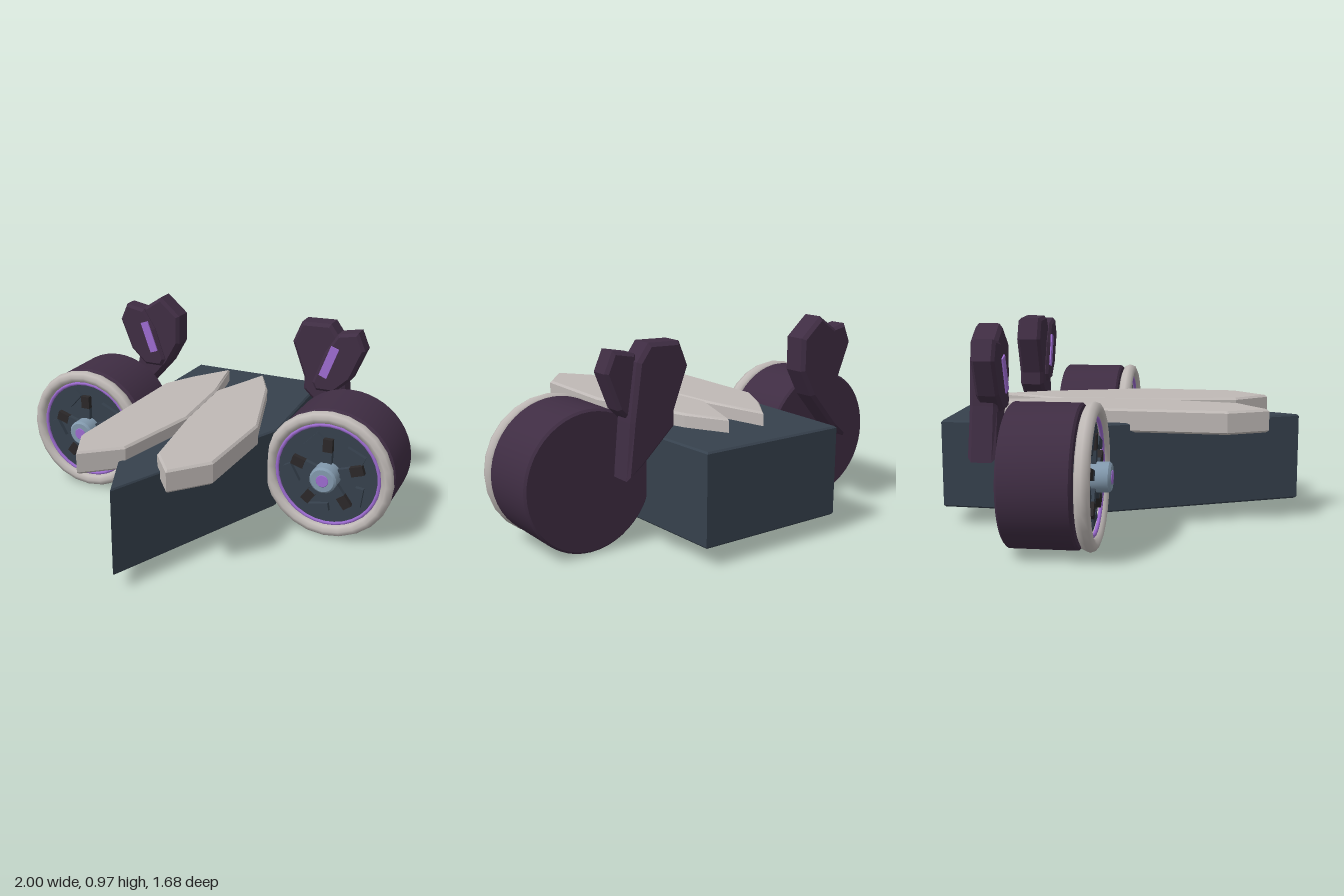
import * as THREE from 'three';
import { toCreasedNormals } from 'three/addons/utils/BufferGeometryUtils.js';

const mat = (name, color) => {
  const m = new THREE.MeshStandardMaterial({ color });
  m.name = name;
  return m;
};

export function createModel() {
  const slate = mat('slate', 0x36414d);
  const plum = mat('plum', 0x3f2d43);
  const paleGrey = mat('pale grey', 0xbfb9b6);
  const purple = mat('purple', 0x9c6bd0);
  const steel = mat('steel blue', 0x8299ad);
  const charcoal = mat('charcoal', 0x2b2829);

  const model = new THREE.Group();
  const add = (parent, name, geometry, material) => {
    const mesh = new THREE.Mesh(geometry, material);
    mesh.name = name;
    parent.add(mesh);
    return mesh;
  };

  // Bevelled plate filling an outline, from z = 0 to z = thickness
  const plate = (points, thickness, bevel) => {
    const shape = new THREE.Shape(points.map(([x, y]) => new THREE.Vector2(x, y)));
    return new THREE.ExtrudeGeometry(shape, {
      depth: thickness - 2 * bevel,
      bevelThickness: bevel,
      bevelSize: bevel,
      bevelOffset: -bevel,
      bevelSegments: 1,
    }).translate(0, 0, bevel);
  };
  // The same plate laid flat, with its outline given in x and z
  const flatPlate = (points, y0, y1, bevel) =>
    plate(points, y1 - y0, bevel).rotateX(Math.PI / 2).translate(0, y1, 0);

  // Solid turned around the z axis, from [radius, z] pairs
  const turned = (profile, segments) => {
    const points = profile.map(([r, z]) => new THREE.Vector2(r, z));
    return toCreasedNormals(new THREE.LatheGeometry(points, segments), 0.5).rotateX(Math.PI / 2);
  };
  const disc = (r, z0, z1, b, segments) =>
    turned([[0, z0], [r - b, z0], [r, z0 + b], [r, z1 - b], [r - b, z1], [0, z1]], segments);

  // Hull with a pointed nose
  add(model, 'hull', flatPlate(
    [[-0.37, -0.84], [0.37, -0.84], [0.4, -0.1], [0, 0.84], [-0.4, -0.1]], 0.09, 0.51, 0.008), slate);

  // Two long deck panels
  add(model, 'rightDeckPanel', flatPlate(
    [[-0.1, -0.65], [-0.24, -0.46], [-0.325, -0.3], [-0.35, 0.5], [-0.26, 0.69],
      [-0.09, 0.545], [0, 0.09], [-0.03, -0.32]], 0.465, 0.575, 0.01), paleGrey);
  add(model, 'leftDeckPanel', flatPlate(
    [[0.1, -0.65], [0.2, -0.46], [0.35, 0.04], [0.335, 0.52], [0.19, 0.69],
      [0.067, 0.535], [0, 0.09], [-0.03, -0.32]], 0.465, 0.574, 0.01), paleGrey);

  // Round thruster pods with a rim, spokes and a hub
  for (const side of [-1, 1]) {
    const pod = new THREE.Group();
    pod.name = side < 0 ? 'rightPod' : 'leftPod';
    pod.position.set(side * 0.673, 0.333, 0);
    model.add(pod);

    add(pod, 'drum', disc(0.32, -0.428, -0.112, 0.01, 48), plum);
    add(pod, 'face', disc(0.262, -0.12, -0.078, 0.002, 32), slate);
    const rim = add(pod, 'rim', new THREE.TorusGeometry(0.295, 0.032, 8, 24), paleGrey);
    rim.position.z = -0.071;
    rim.scale.z = 1.08;
    add(pod, 'glowRing', new THREE.TorusGeometry(0.257, 0.009, 6, 32), purple).position.z = -0.064;

    for (let i = 0; i < 5; i++) {
      const spoke = new THREE.Group();
      spoke.name = 'spoke';
      spoke.rotation.z = 0.33 + (i * Math.PI * 2) / 5;
      pod.add(spoke);
      const arm = add(spoke, 'spokeArm', new THREE.BoxGeometry(0.15, 0.045, 0.035), slate);
      arm.position.set(0.11, 0, -0.07);
      const block = add(spoke, 'spokeBlock', new THREE.BoxGeometry(0.065, 0.047, 0.037), charcoal);
      block.position.set(0.155, 0.0, -0.069);
      const brace = add(spoke, 'spokeBrace', new THREE.BoxGeometry(0.1, 0.04, 0.03), slate);
      brace.position.set(0.165, 0.075, -0.07);
      brace.rotation.z = -0.75;
    }

    add(pod, 'hub', disc(0.067, -0.085, 0.013, 0.01, 20), steel);
    add(pod, 'hubCore', disc(0.031, 0, 0.017, 0.002, 16), purple);
  }

  // Upright fins: a tapering rear blade and a shorter front blade with a stripe
  const rearBlades = {
    right: [[-0.46, 0.975], [-0.565, 0.905], [-0.6, 0.62], [-0.65, 0.375], [-0.57, 0.43],
      [-0.42, 0.6], [-0.35, 0.725], [-0.35, 0.88]],
    left: [[0.355, 0.94], [0.31, 0.83], [0.38, 0.645], [0.38, 0.58], [0.54, 0.43],
      [0.62, 0.375], [0.6, 0.62], [0.565, 0.87], [0.51, 0.945]],
  };
  const frontBlade = [[0.7, 0.83], [0.66, 0.922], [0.555, 0.902], [0.49, 0.8],
    [0.43, 0.63], [0.45, 0.59], [0.55, 0.59], [0.635, 0.67]];
  for (const [key, side] of [['right', -1], ['left', 1]]) {
    const fin = new THREE.Group();
    fin.name = key + 'Fin';
    model.add(fin);
    add(fin, 'rearBlade', plate(rearBlades[key], 0.125, 0.016), plum).position.z = -0.635;
    const front = frontBlade.map(([x, y]) => [x * side, y]);
    add(fin, 'frontBlade', plate(front, 0.105, 0.014), plum).position.z = -0.597;
    const stripe = add(fin, 'stripe', new THREE.BoxGeometry(0.045, 0.172, 0.008), purple);
    stripe.position.set(side * 0.518, 0.753, -0.489);
    stripe.rotation.z = side * -0.35;
  }

  return model;
}
